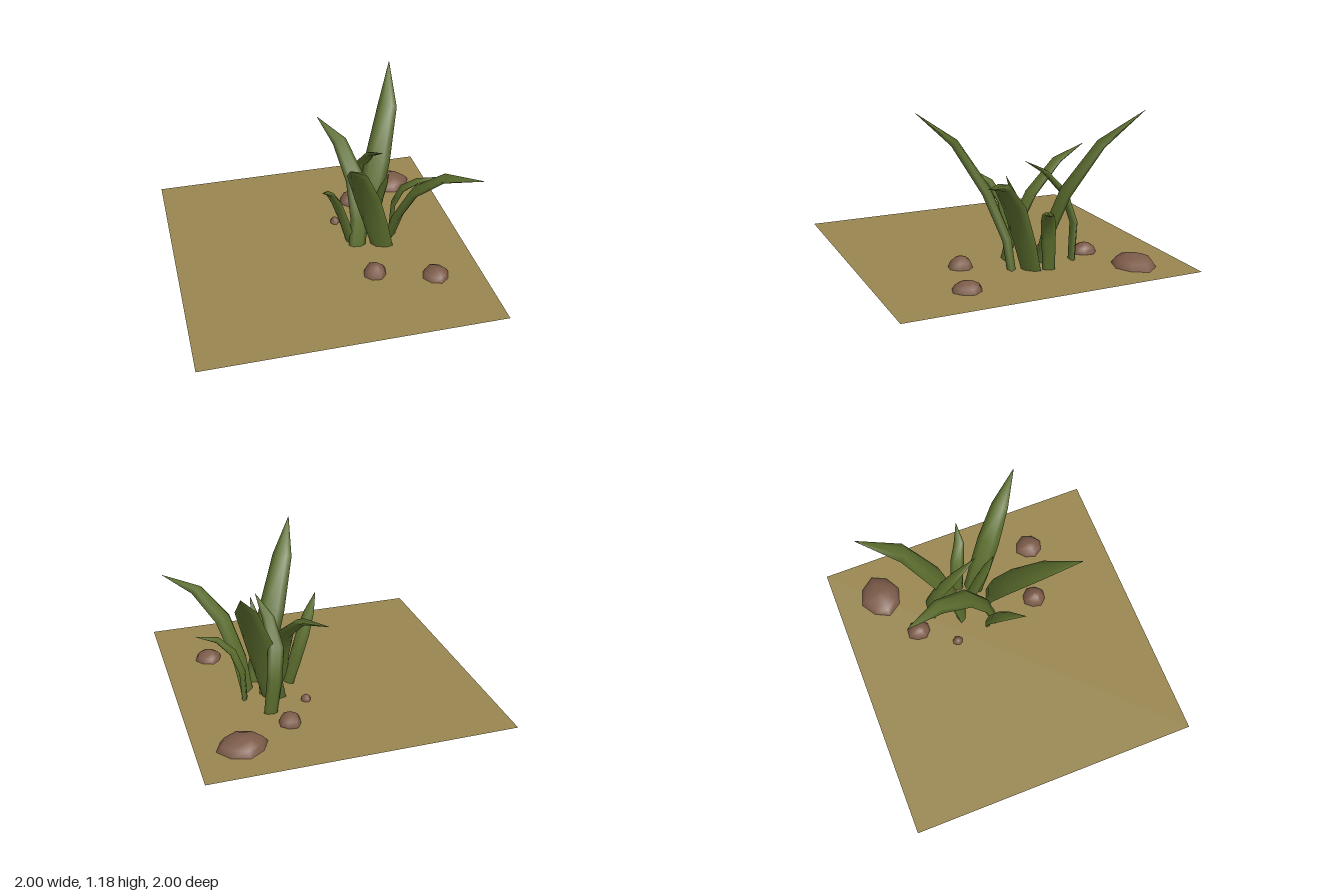
import * as THREE from 'three';

const mat = (name, color, side = THREE.FrontSide) => {
  const m = new THREE.MeshStandardMaterial({ color, side });
  m.name = name;
  return m;
};

// Joins rings of points, listed from bottom to top, into one smooth skin
function skin(rings) {
  const n = rings[0].length, index = [];
  for (let r = 0; r < rings.length - 1; r++) {
    for (let j = 0; j < n; j++) {
      const k = (j + 1) % n, a = r * n + j, b = r * n + k;
      index.push(a, b, b + n, a, b + n, a + n);
    }
  }
  const g = new THREE.BufferGeometry().setFromPoints(rings.flat());
  g.setIndex(index);
  g.computeVertexNormals();
  return g;
}

// A tapering leaf with a lens-shaped section; angle turns its flat side around y
function bladeGeometry(path, width, angle) {
  const pts = path.map(p => new THREE.Vector3(...p));
  const side = new THREE.Vector3(Math.cos(angle), 0, -Math.sin(angle));
  const taper = [0.85, 1, 1.05, 0.8, 0.02];
  const rings = pts.map((p, i) => {
    const t = pts[Math.min(i + 1, pts.length - 1)].clone().sub(pts[Math.max(i - 1, 0)]);
    const s = side.clone().addScaledVector(t, -side.dot(t) / t.lengthSq()).normalize();
    const up = t.normalize().cross(s);
    // the bottom ring lies flat
    if (i === 0) { s.copy(side); up.set(0, 1, 0).cross(s); }
    const w = width * taper[i] / 2;
    return Array.from({ length: 6 }, (_, j) => {
      const a = j * Math.PI / 3;
      return p.clone().addScaledVector(s, w * Math.cos(a)).addScaledVector(up, w * 0.42 * Math.sin(a));
    });
  });
  rings.unshift(rings[0].map(() => pts[0].clone()));
  return skin(rings);
}

// Rings of an irregular low dome
function rockRings(x, z, rx, rz, bottom, top, turn) {
  const bumps = [1, 0.95, 1.05, 0.97, 1.04, 0.93, 1.03, 0.98];
  const profile = [[0, 0.05], [0.86, 0.05], [1, 0], [0.99, 0.36], [0.8, 0.72], [0.42, 0.95], [0, 1]];
  return profile.map(([r, h]) => bumps.map((b, j) => {
    const a = turn + j * Math.PI / 4;
    return new THREE.Vector3(
      x + Math.sin(a) * rx * r * b,
      bottom + (top - bottom) * h,
      z + Math.cos(a) * rz * r * b);
  }));
}

export function createModel() {
  const root = new THREE.Group();
  const soil = mat('drySoil', 0x98854f, THREE.DoubleSide);
  const green = mat('leafGreen', 0x5a6c2d);
  const brown = mat('rockBrown', 0x7c5b49);
  const black = mat('rockHollow', 0x080606);
  const add = (parent, name, geometry, material) => {
    const m = new THREE.Mesh(geometry, material);
    m.name = name;
    parent.add(m);
  };

  // Ground sheet
  add(root, 'ground', new THREE.PlaneGeometry(2, 2).rotateX(-Math.PI / 2).translate(0, 0.175, 0), soil);

  // Grass: path from root to tip, width, side angle
  const grass = new THREE.Group();
  grass.name = 'grassTuft';
  const blades = [
    ['tallFrontBlade', [[0.475, 0.02, 0.06], [0.385, 0.35, 0.075], [0.285, 0.65, 0.17], [0.16, 0.96, 0.34], [0.05, 1.15, 0.56]], 0.165, -0.35],
    ['tallBackBlade', [[0.33, 0, -0.15], [0.41, 0.35, -0.2], [0.49, 0.65, -0.29], [0.605, 0.97, -0.47], [0.69, 1.18, -0.73]], 0.17, -0.35],
    ['frontLeftBlade', [[0.51, 0.08, -0.06], [0.55, 0.38, 0.03], [0.63, 0.64, 0.14], [0.77, 0.81, 0.28], [0.97, 0.87, 0.46]], 0.15, 0.8],
    ['backRightBlade', [[0.25, 0.08, 0.05], [0.29, 0.36, -0.01], [0.29, 0.61, -0.14], [0.23, 0.8, -0.36], [0.13, 0.87, -0.61]], 0.13, -0.1],
    ['rightBlade', [[0.25, 0.1, -0.01], [0.18, 0.36, -0.03], [0.12, 0.53, -0.01], [0.06, 0.65, 0.05], [-0.02, 0.74, 0.16]], 0.1, -0.9],
    ['centreBlade', [[0.42, 0.08, -0.13], [0.42, 0.3, -0.09], [0.42, 0.5, -0.02], [0.43, 0.66, 0.05], [0.445, 0.79, 0.11]], 0.08, 0.2],
    ['archedBackBlade', [[0.45, 0.11, -0.36], [0.42, 0.42, -0.39], [0.39, 0.62, -0.33], [0.4, 0.77, -0.19], [0.44, 0.87, -0.02]], 0.1, -0.1],
    ['leftBlade', [[0.56, 0.1, -0.14], [0.57, 0.37, -0.13], [0.62, 0.51, -0.1], [0.71, 0.59, -0.05], [0.85, 0.62, -0.02]], 0.09, 1.2],
  ];
  for (const [name, path, width, angle] of blades) add(grass, name, bladeGeometry(path, width, angle), green);
  root.add(grass);

  // Rocks: x, z, x radius, z radius, bottom, top, turn
  const rocks = new THREE.Group();
  rocks.name = 'rocks';
  const list = [
    [0.705, -0.68, 0.163, 0.145, 0.135, 0.245, 0.1],
    [0.355, -0.51, 0.075, 0.085, 0.15, 0.24, 0.4],
    [0.18, -0.275, 0.034, 0.037, 0.16, 0.212, 0.2],
    [0.295, 0.36, 0.083, 0.085, 0.13, 0.247, 0.3],
    [0.685, 0.475, 0.094, 0.1, 0.14, 0.232, 0.15],
  ];
  for (const r of list) {
    const rings = rockRings(...r);
    add(rocks, 'rock', skin(rings.slice(1)), brown);
    add(rocks, 'rockUnderside', skin(rings.slice(0, 2)), black);
  }
  root.add(rocks);
  return root;
}
